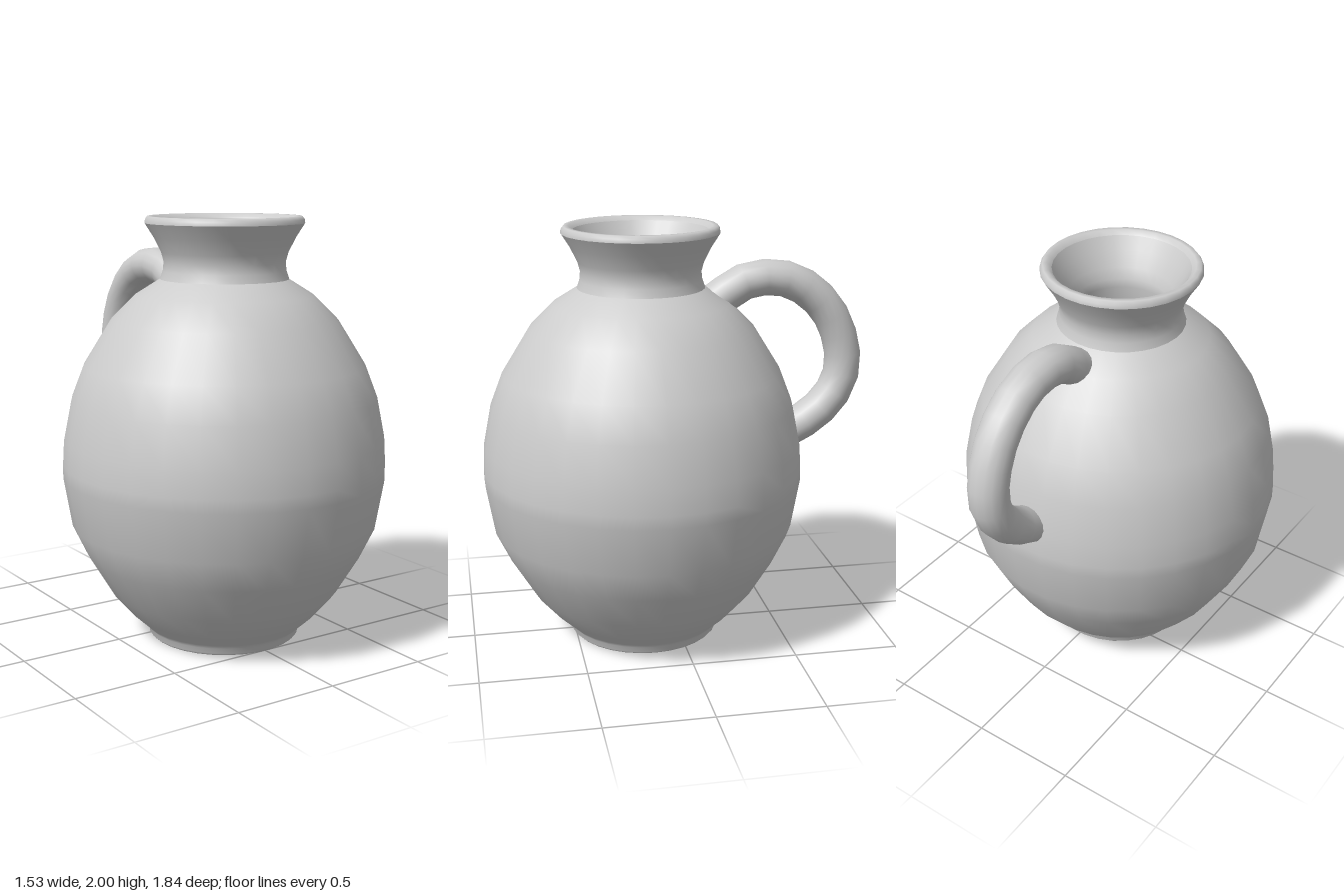
import * as THREE from 'three';

const AXIS_Z = 0.155; // the pot sits forward of centre, balancing the handle
const SIDES = 30;

export function createModel() {
  const model = new THREE.Group();
  const material = new THREE.MeshStandardMaterial({ color: 0xcccccc });

  const add = (name, geometry, parent) => {
    const mesh = new THREE.Mesh(geometry, material);
    mesh.name = name;
    parent.add(mesh);
    return mesh;
  };

  // Turned parts share one axis; profiles run [radius, height]
  const pot = new THREE.Group();
  pot.name = 'pot';
  pot.position.z = AXIS_Z;
  model.add(pot);
  const turned = (name, profile) => add(name, new THREE.LatheGeometry(
    profile.map(([r, y]) => new THREE.Vector2(r, y)), SIDES, Math.PI / 2), pot);

  turned('base', [[0, 0], [0.35, 0]]);
  turned('foot', [[0.35, 0], [0.362, 0.012], [0.362, 0.035], [0.38, 0.055]]);
  turned('belly', [
    [0.38, 0.055], [0.45, 0.12], [0.55, 0.235], [0.655, 0.41], [0.725, 0.557],
    [0.765, 0.79], [0.765, 0.85], [0.758, 0.97], [0.72, 1.16], [0.66, 1.315],
    [0.53, 1.525], [0.415, 1.64], [0.30, 1.712],
  ]);
  turned('neck', [
    [0.30, 1.712], [0.287, 1.75], [0.283, 1.79], [0.295, 1.835],
    [0.33, 1.905], [0.37, 1.968],
  ]);
  turned('rim', [[0.37, 1.968], [0.368, 1.985], [0.357, 2], [0.335, 2], [0.315, 1.98]]);
  turned('throat', [
    [0.315, 1.98], [0.28, 1.92], [0.24, 1.85], [0.22, 1.80], [0.215, 1.76], [0.23, 1.67],
  ]);

  // Hollow interior, running down the wall to the floor
  turned('interior', [
    [0.23, 1.67], [0.37, 1.57], [0.48, 1.47], [0.60, 1.28], [0.66, 1.13],
    [0.695, 0.96], [0.70, 0.80], [0.66, 0.58], [0.59, 0.43], [0.48, 0.26],
    [0.36, 0.13], [0.2, 0.08], [0, 0.07],
  ]);

  // Loop handle on the back, slightly wider than deep
  const path = new THREE.CatmullRomCurve3([
    [1.61, -0.17], [1.66, -0.24], [1.72, -0.34], [1.738, -0.44], [1.715, -0.58],
    [1.615, -0.72], [1.49, -0.80], [1.33, -0.84], [1.20, -0.818],
    [1.085, -0.735], [1.015, -0.64], [0.975, -0.56],
  ].map(([y, z]) => new THREE.Vector3(0, y, z)));
  const handle = add('handle', new THREE.TubeGeometry(path, 14, 0.087, 16), model);
  handle.scale.x = 1.09;

  return model;
}
